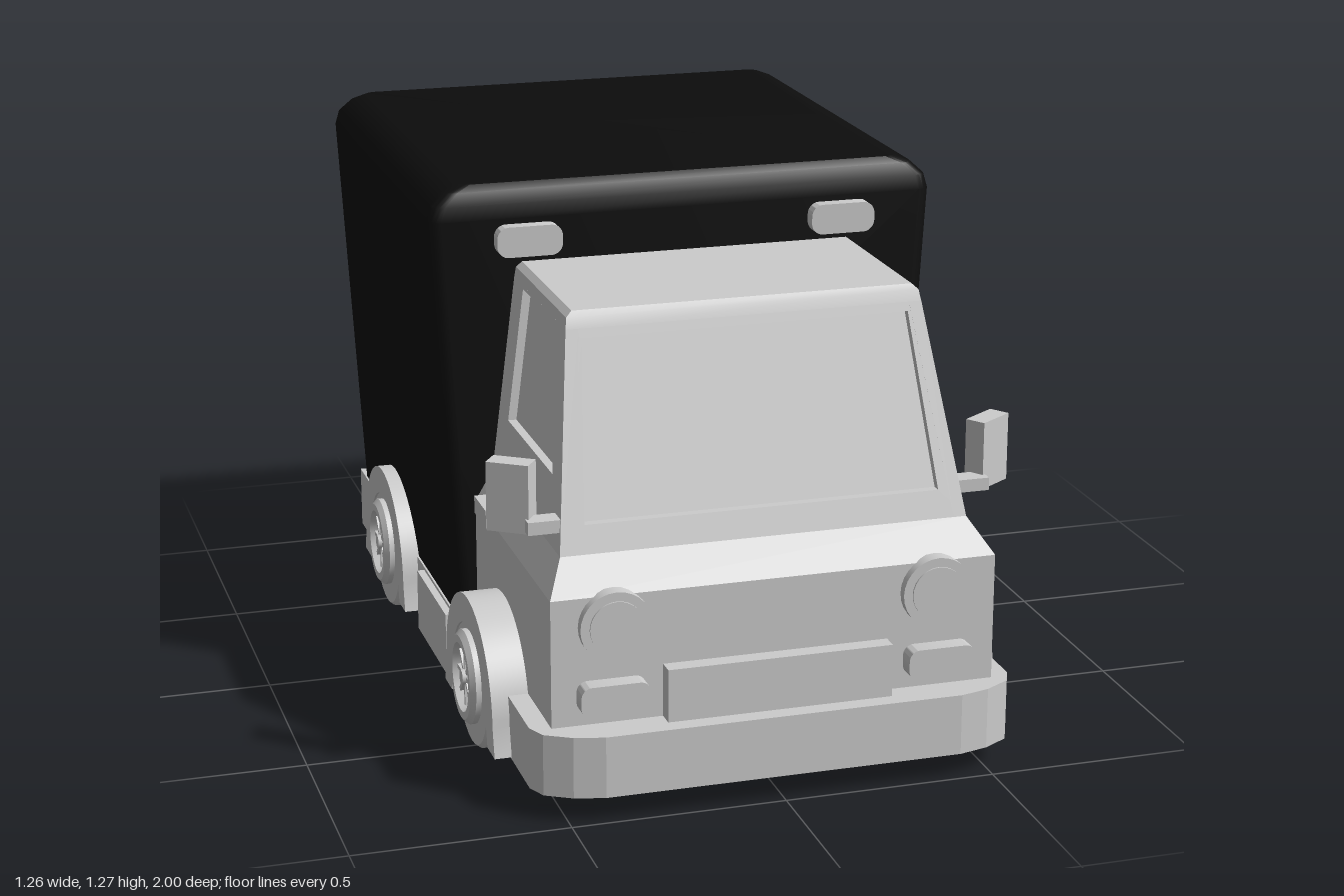
import * as THREE from 'three';
import { toCreasedNormals } from 'three/addons/utils/BufferGeometryUtils.js';

const grey = new THREE.MeshStandardMaterial({ color: 0xcccccc, side: THREE.DoubleSide });
grey.name = 'light grey';
const black = new THREE.MeshStandardMaterial({ color: 0x0d0d0d });
black.name = 'black';

// Skin between horizontal loops, listed bottom to top
function loft(loops, capBottom, capTop, crease = 0.6) {
  const pos = [];
  const tri = (...pts) => pts.forEach(p => pos.push(...p));
  const n = loops[0].length;
  for (let k = 0; k < loops.length - 1; k++) {
    for (let i = 0; i < n; i++) {
      const j = (i + 1) % n, lo = loops[k], hi = loops[k + 1];
      tri(lo[i], lo[j], hi[j]);
      tri(lo[i], hi[j], hi[i]);
    }
  }
  const top = loops[loops.length - 1], bottom = loops[0];
  for (let i = 1; i < n - 1; i++) {
    if (capTop) tri(top[0], top[i], top[i + 1]);
    if (capBottom) tri(bottom[0], bottom[i + 1], bottom[i]);
  }
  const g = new THREE.BufferGeometry();
  g.setAttribute('position', new THREE.Float32BufferAttribute(pos, 3));
  return toCreasedNormals(g, crease);
}

// Horizontal rounded rectangle
function roundedLoop(y, hw, hd, r, zc) {
  const pts = [];
  [[1, 1, 90], [1, -1, 0], [-1, -1, -90], [-1, 1, -180]].forEach(([sx, sz, start]) => {
    for (let k = 0; k <= 4; k++) {
      const a = THREE.MathUtils.degToRad(start - k * 22.5);
      pts.push([sx * (hw - r) + r * Math.cos(a), y, zc + sz * (hd - r) + r * Math.sin(a)]);
    }
  });
  return pts;
}

const rectLoop = (y, w, zf, zb) => [[w, y, zf], [w, y, zb], [-w, y, zb], [-w, y, zf]];
const poly = pts => new THREE.Shape(pts.map(p => new THREE.Vector2(...p)));
const extrude = (shape, depth) => new THREE.ExtrudeGeometry(shape, { depth, bevelEnabled: false, curveSegments: 16 });

function roundedPlate(w, h, r, depth) {
  const s = new THREE.Shape(), x = w / 2 - r, y = h / 2 - r;
  s.absarc(x, y, r, 0, Math.PI / 2);
  s.absarc(-x, y, r, Math.PI / 2, Math.PI);
  s.absarc(-x, -y, r, Math.PI, Math.PI * 1.5);
  s.absarc(x, -y, r, Math.PI * 1.5, Math.PI * 2);
  return toCreasedNormals(extrude(s, depth), 0.6);
}

// Move every vertex by a rule
function warp(g, rule) {
  const p = g.attributes.position;
  for (let i = 0; i < p.count; i++) p.setXYZ(i, ...rule(p.getX(i), p.getY(i), p.getZ(i)));
  g.computeVertexNormals();
  return g;
}

export function createModel() {
  const model = new THREE.Group();
  const add = (name, geometry, x = 0, y = 0, z = 0, material = grey, parent = model) => {
    const m = new THREE.Mesh(geometry, material);
    m.name = name;
    m.position.set(x, y, z);
    parent.add(m);
    return m;
  };
  // Box given by its limits
  const block = (name, x0, x1, y0, y1, z0, z1) =>
    add(name, new THREE.BoxGeometry(x1 - x0, y1 - y0, z1 - z0), (x0 + x1) / 2, (y0 + y1) / 2, (z0 + z1) / 2);

  // Cargo box, widening upwards
  add('cargoBox', loft([
    [0.2, 0.565, 0.575, 0.03], [1.19, 0.622, 0.575, 0.03], [1.225, 0.612, 0.573, 0.03],
    [1.255, 0.58, 0.562, 0.03], [1.27, 0.545, 0.545, 0.03],
  ].map(([y, w, d, r]) => roundedLoop(y, w, d, r, -0.365)), true, true), 0, 0, 0, black);

  // Rear door and hinges
  add('rearDoor', roundedPlate(0.96, 0.89, 0.08, 0.012), 0, 0.715, -0.95);
  for (const s of [-1, 1]) {
    for (const y of [0.985, 0.563]) {
      add('hingeStrap', new THREE.BoxGeometry(0.11, 0.045, 0.022), s * 0.455, y, -0.95);
      add('hingeFlange', new THREE.BoxGeometry(0.025, 0.09, 0.022), s * 0.51, y, -0.95);
    }
  }

  // Cab: open-bottomed lower shell, pillars with window openings, roof
  add('cabBody', loft([
    rectLoop(0.2, 0.523, 0.917, 0.215), rectLoop(0.505, 0.523, 0.917, 0.215), rectLoop(0.578, 0.48, 0.842, 0.215),
  ], false, false, 0.3));
  add('cabRoof', loft([
    rectLoop(1.05, 0.42, 0.681, 0.215), rectLoop(1.075, 0.416, 0.672, 0.217), rectLoop(1.088, 0.402, 0.664, 0.222),
  ], false, true, 0.3));
  const frontZ = y => 0.842 - (y - 0.578) * 0.342;
  const sideX = y => 0.48 - (y - 0.578) * 0.127;

  const frontPanel = (shape, depth, inset) =>
    warp(extrude(shape, depth), (x, y, z) => [x, y, frontZ(y) - inset - depth + z]);
  const screen = [[-0.418, 0.64], [0.418, 0.64], [0.385, 1.03], [-0.385, 1.03]];
  const frame = poly([[-0.48, 0.578], [0.48, 0.578], [0.42, 1.05], [-0.42, 1.05]]);
  frame.holes.push(poly(screen));
  add('windscreenFrame', frontPanel(frame, 0.03, 0));
  add('windscreen', frontPanel(poly(screen), 0.006, 0.022));

  const sidePanel = (shape, depth, inset, s) =>
    warp(extrude(shape, depth).rotateY(-Math.PI / 2), (x, y, z) =>
      [s > 0 ? sideX(y) - inset + x : -sideX(y) + inset + depth + x, y, z]);
  const pane = [[0.302, 0.727], [0.71, 0.727], [0.612, 1.043], [0.302, 1.043]];
  const bumperY = 0.06;

  for (const s of [-1, 1]) {
    const sided = (name, xa, xb, ...rest) => block(name, Math.min(s * xa, s * xb), Math.max(s * xa, s * xb), ...rest);

    // Side wall and window
    const wall = poly([[0.215, 0.578], [0.842, 0.578], [0.681, 1.05], [0.215, 1.05]]);
    wall.holes.push(poly(pane));
    add('cabSideFrame', sidePanel(wall, 0.03, 0, s));
    add('sideWindow', sidePanel(poly(pane), 0.006, 0.02, s));
    sided('doorHandle', 0.5, 0.555, 0.52, 0.562, 0.34, 0.455);

    // Mirror
    sided('mirrorArm', 0.455, 0.545, 0.625, 0.655, 0.765, 0.815);
    const mirror = add('mirrorHead', new THREE.BoxGeometry(0.1, 0.16, 0.05), s * 0.565, 0.7, 0.745);
    mirror.rotation.y = s * 0.6;

    // Lamps
    const rim = new THREE.CylinderGeometry(0.083, 0.083, 0.035, 28).rotateX(Math.PI / 2);
    add('headlightRim', rim, s * 0.378, 0.437, 0.922);
    add('headlightLens', new THREE.CylinderGeometry(0.062, 0.062, 0.035, 28).rotateX(Math.PI / 2), s * 0.378, 0.437, 0.926);
    add('fogLamp', roundedPlate(0.16, 0.073, 0.025, 0.055), s * 0.385, 0.273, 0.905);
    add('roofLamp', roundedPlate(0.158, 0.073, 0.028, 0.035), s * 0.387, 1.14, 0.208);
    sided('rearLamp', 0.22, 0.47, 0.065, 0.16, -1, -0.96);

    // Skirts and side tank
    sided('sideSkirt', 0.5, 0.57, 0.065, 0.203, -0.25, 0.26);
    sided('sideTank', 0.46, 0.588, 0.04, 0.195, -0.17, 0.15);
    sided('rearBumperSide', 0.51, 0.57, 0.045, 0.203, -0.97, -0.69);

    for (const z of [0.485, -0.475]) {
      // Wheel arch
      const arch = new THREE.Shape();
      arch.moveTo(0.25, 0.065);
      arch.lineTo(0.235, 0.13);
      arch.absarc(0, 0.13, 0.235, 0, Math.PI, false);
      arch.lineTo(-0.25, 0.065);
      arch.lineTo(-0.18, 0.065);
      arch.lineTo(-0.165, 0.13);
      arch.absarc(0, 0.13, 0.165, Math.PI, 0, true);
      arch.lineTo(0.18, 0.065);
      const archGeo = toCreasedNormals(extrude(arch, 0.12).rotateY(-Math.PI / 2), 0.5);
      add('wheelArch', archGeo, s > 0 ? 0.61 : -0.49, 0, z);

      // Wheel, turned around the axle, with spokes
      const wheel = new THREE.Group();
      wheel.name = 'wheel';
      wheel.position.set(0, 0.17, z);
      wheel.rotation.z = -s * Math.PI / 2;
      model.add(wheel);
      const profile = [[0, 0.51], [0.11, 0.51], [0.12, 0.472], [0.16, 0.472], [0.17, 0.482], [0.17, 0.595], [0.162, 0.605],
        [0.112, 0.605], [0.112, 0.618], [0.1, 0.63], [0.082, 0.63], [0.074, 0.608], [0, 0.608]];
      const tyre = new THREE.LatheGeometry(profile.map(p => new THREE.Vector2(...p)), 32);
      add('tyre', toCreasedNormals(tyre, 0.5), 0, 0, 0, grey, wheel);
      add('hub', new THREE.CylinderGeometry(0.018, 0.022, 0.03, 12), 0, 0.613, 0, grey, wheel);
      for (let i = 0; i < 8; i++) {
        const spoke = new THREE.BoxGeometry(0.052, 0.012, 0.01).translate(0.045, 0, 0).rotateY(i * Math.PI / 4);
        add('spoke', spoke, 0, 0.614, 0, grey, wheel);
      }
    }
  }

  // Bumpers and front plate
  const u = poly([[-0.57, 0.7], [-0.57, 0.9], [-0.55, 0.945], [-0.49, 0.98], [-0.42, 0.998], [0.42, 0.998], [0.49, 0.98],
    [0.55, 0.945], [0.57, 0.9], [0.57, 0.7], [0.51, 0.7], [0.51, 0.88], [0.46, 0.91], [-0.46, 0.91], [-0.51, 0.88], [-0.51, 0.7]]);
  add('frontBumper', extrude(u, 0.145).rotateX(Math.PI / 2), 0, bumperY + 0.145, 0);
  block('frontPlate', -0.265, 0.265, 0.2, 0.33, 0.905, 0.957);
  block('rearBumper', -0.57, 0.57, 0.045, 0.203, -0.975, -0.935);

  return model;
}
